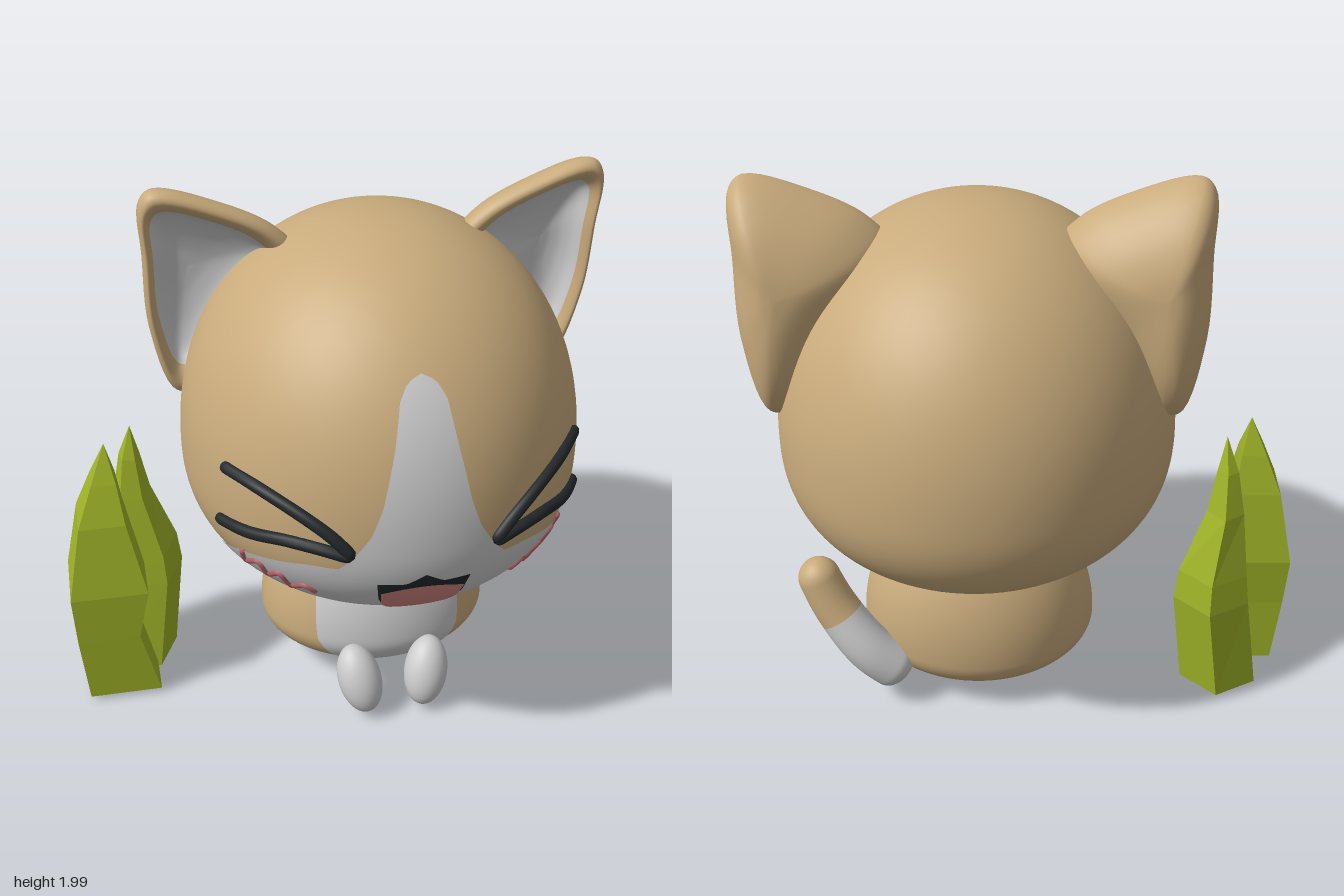
import * as THREE from 'three';
import { mergeVertices } from 'three/addons/utils/BufferGeometryUtils.js';

const V = (x, y, z) => new THREE.Vector3(x, y, z);
const mat = (color, extra = {}) => new THREE.MeshStandardMaterial({ color, ...extra });
const TAN = mat(0xc9ab7c), GREY = mat(0xcccccc), DARK = mat(0x22272a);
const PINK = mat(0xcf8580), BLUSH = mat(0xb56468);
const LEAF = mat(0xa0b428, { flatShading: true });

function add(parent, name, geometry, material) {
  const mesh = new THREE.Mesh(geometry, material);
  mesh.name = name;
  parent.add(mesh);
  return mesh;
}

// Smooth grid surface from a rule (u, v) -> point, u turning right and v going up
function surface(nu, nv, fn) {
  const pos = [], idx = [];
  for (let j = 0; j <= nv; j++)
    for (let i = 0; i <= nu; i++) pos.push(...fn(i / nu, j / nv).toArray());
  for (let j = 0; j < nv; j++)
    for (let i = 0; i < nu; i++) {
      const a = j * (nu + 1) + i, b = a + 1, c = a + nu + 1, d = c + 1;
      idx.push(a, b, d, a, d, c);
    }
  const g = new THREE.BufferGeometry();
  g.setAttribute('position', new THREE.Float32BufferAttribute(pos, 3));
  g.setIndex(idx);
  const merged = mergeVertices(g, 1e-5);
  merged.computeVertexNormals();
  return merged;
}

// Linear lookup in a short table of [key, value] pairs
function lookup(table, k) {
  if (k <= table[0][0]) return table[0][1];
  for (let i = 1; i < table.length; i++) {
    const [k0, v0] = table[i - 1], [k1, v1] = table[i];
    if (k <= k1) return v0 + ((v1 - v0) * (k - k0)) / (k1 - k0);
  }
  return table[table.length - 1][1];
}

// Rounded body of revolution with different upper and lower halves
function blob(cy, down, up, nDown, nUp, rx, rz) {
  const unit = (y) => {
    const n = y < cy ? nDown : nUp;
    const d = Math.min(1, Math.abs(y - cy) / (y < cy ? down : up));
    return Math.pow(1 - Math.pow(d, n), 1 / n);
  };
  const point = (a, y, off = 0) =>
    V((unit(y) * rx + off) * Math.sin(a), y, (unit(y) * rz + off) * Math.cos(a));
  const atX = (x, y, off) =>
    point(Math.asin(THREE.MathUtils.clamp(x / (unit(y) * rx), -1, 1)), y, off);
  const geometry = () => surface(96, 72, (u, v) => {
    const s = Math.sin((v - 0.5) * Math.PI);
    return point((u * 2 - 1) * Math.PI, cy + s * (s < 0 ? down : up));
  });
  return { point, atX, geometry };
}

// Round strand along a curve, between t0 and t1
function strand(points, radius, t0 = 0, t1 = 1, nu = 12, nv = 40) {
  const curve = new THREE.CatmullRomCurve3(points);
  return surface(nu, nv, (u, v) => {
    const t = t0 + (t1 - t0) * v, T = curve.getTangentAt(t);
    const n = V(0, 0, 1).cross(T).normalize(), b = T.clone().cross(n);
    const a = u * Math.PI * 2, r = radius(t);
    return curve.getPointAt(t).addScaledVector(n, r * Math.cos(a)).addScaledVector(b, r * Math.sin(a));
  });
}
const roundEnds = (t, e) => {
  const d = Math.max(0, e - t, t - (1 - e)) / e;
  return Math.sqrt(Math.max(0, 1 - d * d));
};

// Cupped triangular ear; part of its section profile goes from back centre to inner centre
const EAR_OUTLINE = new THREE.CatmullRomCurve3([
  [0.755, 1.995], [0.53, 1.935], [0.35, 1.84], [0.28, 1.74], [0.46, 1.45],
  [0.64, 1.18], [0.71, 1.18], [0.79, 1.45], [0.8, 1.75], [0.8, 1.95],
].map(([x, y]) => V(x, y, 0)), true);
const EAR_BACK = [[0, -0.215], [0.3, -0.205], [0.6, -0.17], [0.82, -0.115], [0.95, -0.055],
  [1, 0], [0.97, 0.03], [0.9, 0.045], [0.82, 0.03], [0.76, 0]];
const EAR_INNER = [[0.76, 0], [0.68, -0.04], [0.5, -0.075], [0.25, -0.095], [0, -0.1]];
function earGeometry(side, profile) {
  const path = new THREE.CatmullRomCurve3(profile.map(([s, z]) => V(s, z, 0)));
  return surface(64, 36, (u, v) => {
    const o = EAR_OUTLINE.getPoint((side > 0 ? u : 1 - u) % 1);
    const p = path.getPoint(v), s = Math.max(0, p.x);
    const x = 0.64 + (o.x - 0.64) * s, y = 1.65 + (o.y - 1.65) * s;
    return V(side * x, y, -0.273 - 0.106 * x + 0.14 * y + p.y);
  });
}

// Faceted leaf from [y, centre x, centre z, half width, half depth] sections
function leafGeometry(sides, turn, sections) {
  const stretch = sides === 4 ? Math.SQRT2 : 1;
  const ring = ([y, x, z, w, d], k) => {
    const a = turn + (k % sides) * Math.PI * 2 / sides;
    return V(x + w * stretch * Math.sin(a), y, z + d * stretch * Math.cos(a));
  };
  const first = sections[0], rings = [[first[0], first[1], first[2], 0, 0], ...sections];
  return surface(sides, rings.length - 1, (u, v) =>
    ring(rings[Math.round(v * (rings.length - 1))], Math.round(u * sides)));
}

export function createModel() {
  const root = new THREE.Group();
  root.name = 'kittenWithGrass';
  const cat = new THREE.Group();
  cat.name = 'kitten';
  cat.position.x = 0.18;
  root.add(cat);

  // Head with light muzzle and blaze
  const head = blob(1.05, 0.5, 0.83, 2.4, 2.1, 0.713, 0.76);
  add(cat, 'head', head.geometry(), TAN);
  const muzzleTop = [[0, 0.97], [0.55, 0.95], [0.95, 0.88], [1.35, 0.76], [1.6, 0.68], [1.8, 0.6]];
  add(cat, 'muzzle', surface(64, 40, (u, v) => {
    const a = (u * 2 - 1) * 1.8, top = lookup(muzzleTop, Math.abs(a));
    return head.point(a, 0.556 + (top - 0.556) * Math.pow(v, 1.5), 0.005);
  }), GREY);
  const blazeWidth = [[0.9, 0.33], [1, 0.24], [1.1, 0.18], [1.2, 0.145], [1.4, 0.1], [1.53, 0.075], [1.58, 0.045], [1.6, 0]];
  add(cat, 'blaze', surface(16, 48, (u, v) => {
    const y = 0.9 + 0.7 * v;
    return head.atX((u * 2 - 1) * lookup(blazeWidth, y), y, 0.006);
  }), GREY);

  // Open mouth with tongue
  const facePatch = (name, width, low, high, off, material) =>
    add(cat, name, surface(24, 24, (u, v) => {
      const x = (u * 2 - 1) * width, k = Math.abs(u * 2 - 1);
      const y0 = low(k), y1 = high(k);
      return head.atX(x, y0 + (y1 - y0) * v, off);
    }), material);
  facePatch('mouth', 0.155, (k) => 0.895 - 0.21 * Math.pow(1 - k * k, 0.5),
    (k) => 0.9 + 0.04 * Math.max(0, 1 - k * 2.5), 0.01, DARK);
  facePatch('tongue', 0.14, (k) => 0.85 - 0.175 * Math.pow(1 - k * k, 0.5),
    (k) => 0.85 + 0.035 * (1 - k * k), 0.014, PINK);

  // Features found on both sides
  for (const s of [-1, 1]) {
    const side = s > 0 ? 'left' : 'right';
    const onFace = (pts, off) => pts.map(([x, y]) => head.atX(s * x, y, off));
    const lid = (t) => 0.022 * roundEnds(t, 0.06);
    add(cat, side + 'UpperEyelid', strand(onFace([[0.23, 1.01], [0.3, 1.085], [0.38, 1.14], [0.5, 1.19], [0.61, 1.2]], 0.006), lid), DARK);
    add(cat, side + 'LowerEyelid', strand(onFace([[0.23, 1.01], [0.33, 1.03], [0.43, 1.03], [0.54, 1.0], [0.63, 0.975]], 0.006), lid), DARK);
    add(cat, side + 'Blush', strand(onFace([[0.33, 0.79], [0.37, 0.825], [0.41, 0.79], [0.45, 0.85],
      [0.48, 0.81], [0.51, 0.865], [0.545, 0.825], [0.56, 0.89]], 0.001), (t) => 0.014 * roundEnds(t, 0.04), 0, 1, 8, 64), BLUSH);
    add(cat, side + 'Ear', earGeometry(s, EAR_BACK), TAN);
    add(cat, side + 'InnerEar', earGeometry(s, EAR_INNER), GREY);

    // Front paw
    const paw = add(cat, side + 'Paw', new THREE.SphereGeometry(1, 32, 24), GREY);
    paw.scale.set(0.082, 0.135, 0.078);
    paw.position.set(s * 0.128, 0.16, 0.355);
    paw.rotation.set(-0.42, 0, s * -0.2);
  }

  // Body with light chest, leaning back a little
  const torso = new THREE.Group();
  torso.name = 'torso';
  torso.position.set(0.005, 0, -0.04);
  torso.rotation.x = -0.08;
  cat.add(torso);
  const body = blob(0.25, 0.2, 0.5, 2.1, 2, 0.437, 0.365);
  add(torso, 'body', body.geometry(), TAN);
  const bibWidth = [[0.11, 0.35], [0.16, 0.55], [0.25, 0.66], [0.5, 0.72], [0.68, 0.72]];
  add(torso, 'chest', surface(32, 40, (u, v) => {
    const y = 0.11 + 0.57 * v;
    return body.point((u * 2 - 1) * lookup(bibWidth, y), y, 0.005);
  }), GREY);

  // Two-tone tail
  const tailPath = [V(0.27, 0.12, -0.31), V(0.4, 0.24, -0.325), V(0.52, 0.4, -0.29), V(0.61, 0.59, -0.255)];
  const tailRadius = (t) => (0.095 - 0.02 * t) * roundEnds(t, 0.13);
  add(cat, 'tailBase', strand(tailPath, tailRadius, 0, 0.58, 24), GREY);
  add(cat, 'tailTip', strand(tailPath, tailRadius, 0.58, 1, 24), TAN);

  // Grass blades
  add(root, 'frontGrassBlade', leafGeometry(4, Math.PI / 4, [
    [0.03, -0.815, 0.015, 0.135, 0.11], [0.3, -0.86, 0.01, 0.115, 0.12], [0.5, -0.843, 0, 0.142, 0.13],
    [0.78, -0.845, -0.01, 0.085, 0.09], [0.93, -0.825, -0.02, 0.045, 0.05], [1.07, -0.81, -0.03, 0, 0]]), LEAF);
  add(root, 'backGrassBlade', leafGeometry(5, 0.5, [
    [0.01, -0.74, -0.16, 0.15, 0.15], [0.4, -0.69, -0.18, 0.145, 0.155], [0.52, -0.69, -0.18, 0.13, 0.14],
    [0.77, -0.72, -0.17, 0.07, 0.09], [0.93, -0.72, -0.16, 0.04, 0.05], [1.06, -0.71, -0.15, 0, 0]]), LEAF);
  return root;
}
